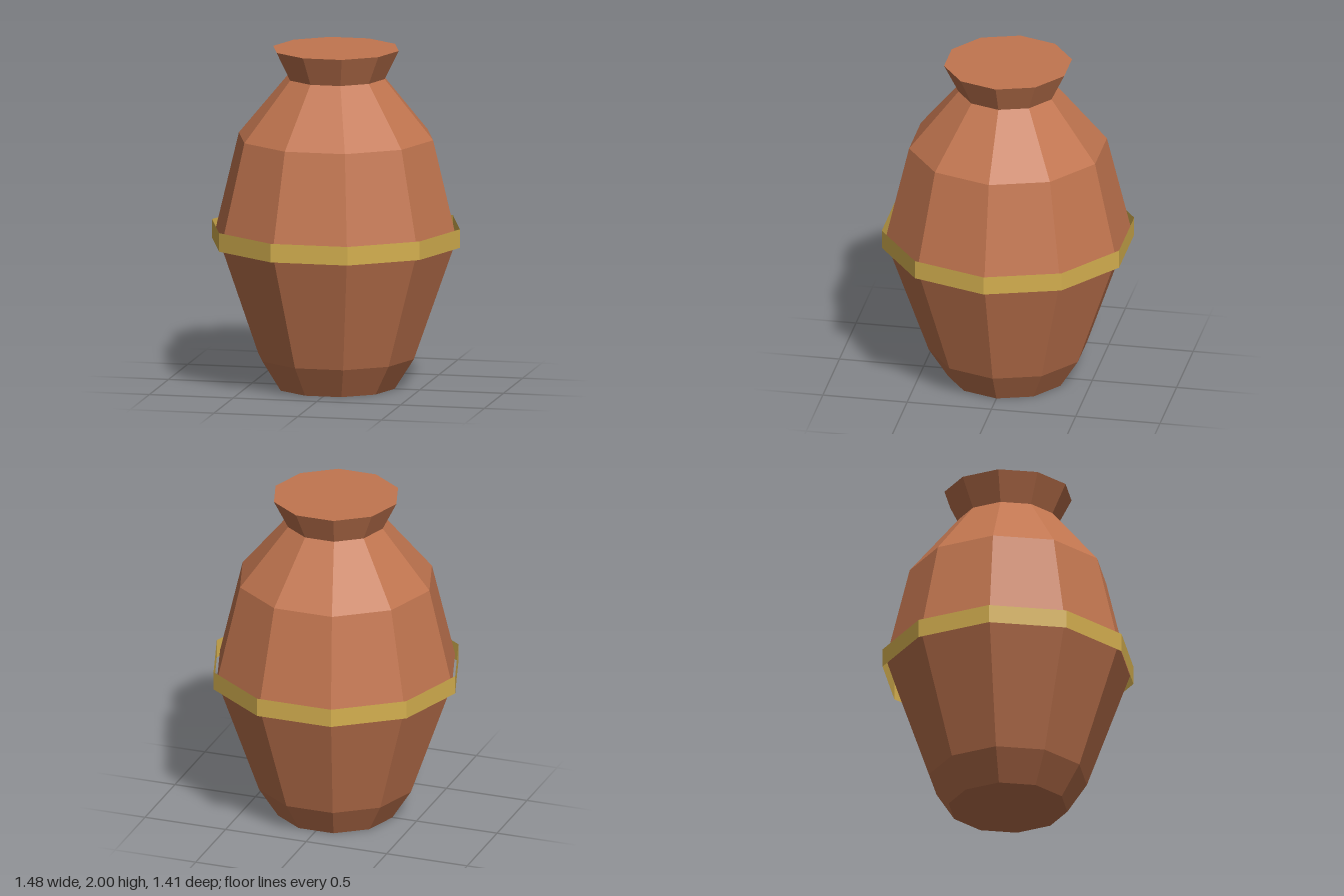
import * as THREE from 'three';

const SIDES = 10;

// Ten-sided turned surface with a corner on the x axis and faceted normals
function facetedLathe(profile) {
  const points = profile.map(([r, y]) => new THREE.Vector2(r, y));
  const geometry = new THREE.LatheGeometry(points, SIDES, Math.PI / 2).toNonIndexed();
  geometry.computeVertexNormals();
  return geometry;
}

export function createModel() {
  const model = new THREE.Group();
  model.name = 'vase';

  const clay = new THREE.MeshStandardMaterial({ color: 0xc1754f, flatShading: true });
  const gold = new THREE.MeshStandardMaterial({
    color: 0xd4af4f, flatShading: true, side: THREE.DoubleSide,
  });

  // Closed body: base, foot, belly, shoulder, neck, flared rim, flat top
  const body = new THREE.Mesh(facetedLathe([
    [0, 0], [0.35, 0], [0.465, 0.18], [0.72, 0.9],
    [0.58, 1.48], [0.29, 1.83], [0.375, 2], [0, 2],
  ]), clay);
  body.name = 'body';
  model.add(body);

  // Thin open band standing off the widest part of the belly
  const band = new THREE.Mesh(facetedLathe([[0.74, 0.85], [0.74, 0.96]]), gold);
  band.name = 'band';
  model.add(band);

  return model;
}
